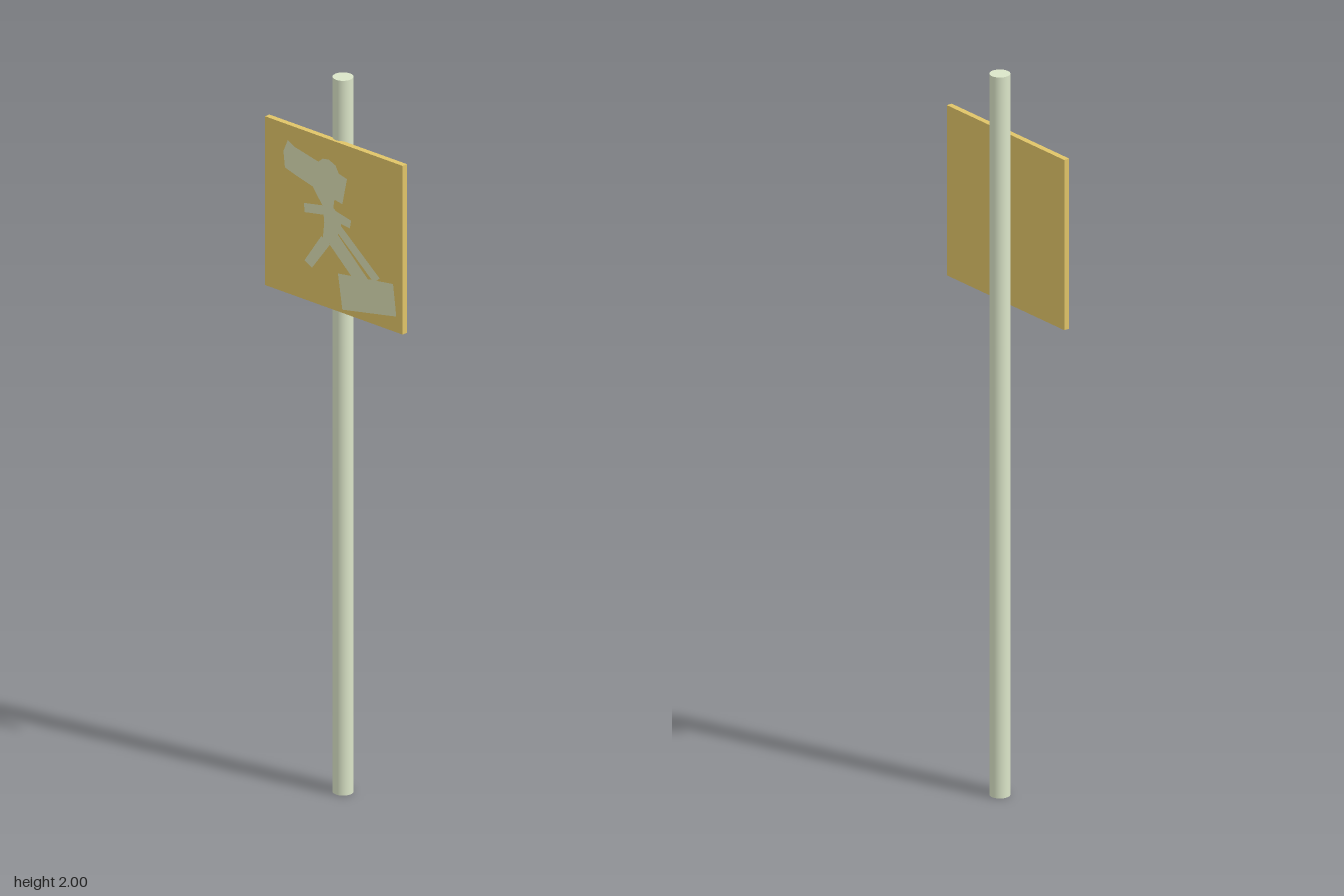
import * as THREE from 'three';

const paint = (color, side = THREE.FrontSide) => new THREE.MeshStandardMaterial({ color, side });

export function createModel() {
  const model = new THREE.Group();
  const add = (name, geometry, material, x, y, z) => {
    const mesh = new THREE.Mesh(geometry, material);
    mesh.name = name;
    mesh.position.set(x, y, z);
    model.add(mesh);
  };

  // round post and square board fixed to its front
  add('post', new THREE.CylinderGeometry(0.027, 0.027, 2, 32), paint(0xdbe5c8), 0, 1, -0.007);
  add('signBoard', new THREE.BoxGeometry(0.472, 0.472, 0.016), paint(0xe0c468), 0, 1.595, 0.02);

  // flat pictogram pieces, outlines relative to the board's centre
  const pieces = {
    pictogramHead: [
      [-0.155, 0.195], [-0.13, 0.182], [-0.05, 0.165], [-0.035, 0.178], [-0.015, 0.181], [0.008, 0.172],
      [0.02, 0.152], [0.048, 0.145], [0.032, 0.07], [0.005, 0.075], [0, 0.045], [-0.035, 0.045],
      [-0.07, 0.09], [-0.13, 0.105], [-0.165, 0.115], [-0.17, 0.16],
    ],
    pictogramTorso: [[-0.035, 0.05], [0.002, 0.05], [0.03, 0.03], [0.025, -0.005], [-0.005, -0.055], [-0.035, -0.045], [-0.03, 0]],
    pictogramArms: [
      [-0.1, 0.035], [-0.03, 0.048], [0.005, 0.045], [0.062, 0.033], [0.058, 0.01],
      [0.02, 0.014], [-0.03, 0.022], [-0.097, 0.01],
    ],
    pictogramLeg: [[-0.04, -0.04], [-0.01, -0.055], [-0.072, -0.138], [-0.098, -0.125]],
    pictogramSlideUpper: [[0.022, 0.012], [0.16, -0.1], [0.14, -0.118], [0.012, -0.012]],
    pictogramSlideLower: [[0.01, -0.014], [0.13, -0.124], [0.085, -0.142], [-0.012, -0.055]],
    pictogramBlock: [[0.017, -0.128], [0.206, -0.102], [0.217, -0.19], [0.032, -0.225]],
  };
  const pale = paint(0xdcdfb4, THREE.DoubleSide);
  for (const [name, points] of Object.entries(pieces)) {
    const shape = new THREE.Shape(points.map(([x, y]) => new THREE.Vector2(x, y)));
    add(name, new THREE.ShapeGeometry(shape), pale, 0, 1.595, 0.0315);
  }
  return model;
}
